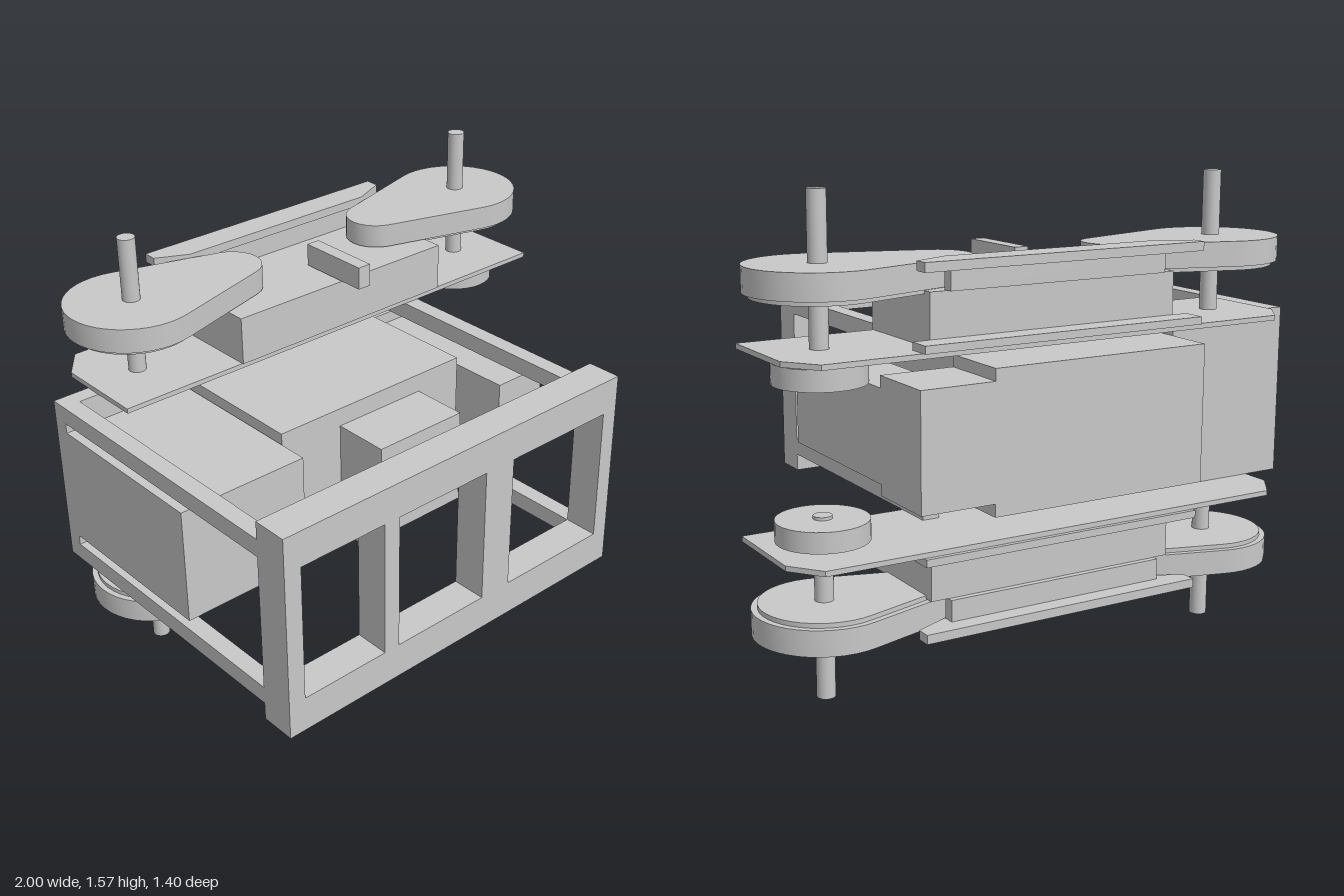
import * as THREE from 'three';
import { toCreasedNormals } from 'three/addons/utils/BufferGeometryUtils.js';

const H = 1.57; // total height; the two wheel decks mirror about H / 2

export function createModel() {
  const group = new THREE.Group();
  const grey = new THREE.MeshStandardMaterial({ color: 0xc8c8c8 });
  grey.name = 'machineGrey';

  const add = (name, geo) => {
    const m = new THREE.Mesh(geo, grey);
    m.name = name;
    group.add(m);
    return m;
  };
  const box = (name, x0, x1, y0, y1, z0, z1) =>
    add(name, new THREE.BoxGeometry(x1 - x0, y1 - y0, z1 - z0))
      .position.set((x0 + x1) / 2, (y0 + y1) / 2, (z0 + z1) / 2);
  const disc = (name, x, z, r, y0, y1) =>
    add(name, new THREE.CylinderGeometry(r, r, y1 - y0, 32)).position.set(x, (y0 + y1) / 2, z);
  // Flat plate: outline in (x, -z), extruded upwards from y0 to y1
  const plate = (name, shape, y0, y1) => {
    const geo = new THREE.ExtrudeGeometry(shape, { depth: y1 - y0, bevelEnabled: false });
    geo.rotateX(-Math.PI / 2);
    add(name, toCreasedNormals(geo, 0.5)).position.y = y0;
  };
  const polygon = pts => new THREE.Shape(pts.map(([x, z]) => new THREE.Vector2(x, -z)));
  // Teardrop outline: big circle at x, small circle at x + dx
  const teardrop = (x, z, dx, R, r) => {
    const a = Math.acos((R - r) / Math.abs(dx)), pts = [];
    const turn = dx > 0 ? 0 : Math.PI;
    const arc = (cx, rad, from, to, k) => {
      for (let i = 0; i <= k; i++) {
        const t = from + (to - from) * i / k + turn;
        pts.push([cx + rad * Math.cos(t), z - rad * Math.sin(t)]);
      }
    };
    arc(x, R, a, 2 * Math.PI - a, 24);
    arc(x + dx, r, -a, a, 10);
    return polygon(pts);
  };

  // Front frame with three windows
  const rect = (S, x0, x1, y0, y1) => {
    const s = new S();
    s.moveTo(x0, y0); s.lineTo(x1, y0); s.lineTo(x1, y1); s.lineTo(x0, y1); s.closePath();
    return s;
  };
  const frame = rect(THREE.Shape, -1, 0.392, 0.43, 1.14);
  for (const [x0, x1] of [[-0.94, -0.625], [-0.567, -0.207], [-0.087, 0.333]])
    frame.holes.push(rect(THREE.Path, x0, x1, 0.55, 1.02));
  add('frontFrame', new THREE.ExtrudeGeometry(frame, { depth: 0.12, bevelEnabled: false }))
    .position.z = 0.58;

  // Central machine blocks
  box('mainBody', -0.525, 0.257, 0.55, 1.02, -0.39, 0.097);
  box('rearBody', -0.525, 0.28, 0.55, 1.02, -0.65, -0.39);
  box('frontKnob', -0.28, 0.075, 0.615, 0.955, 0.097, 0.30);
  box('rightBlock', -1, -0.53, 0.585, 0.985, -0.42, 0.21);
  box('rightBackPlate', -1, -0.525, 0.49, 1.08, -0.48, -0.42);
  box('leftBlock', 0.33, 0.54, 0.63, 0.94, -0.39, 0.237);
  box('leftBlockBase', 0.28, 0.54, 0.593, 0.98, -0.65, -0.39);

  // Everything below exists on the upper and the lower deck
  const wz = -0.457, wheels = [[-0.69, 0.4], [0.775, -0.4]];
  for (const upper of [true, false]) {
    const side = upper ? 'upper' : 'lower';
    const span = (y0, y1) => (upper ? [y0, y1] : [H - y1, H - y0]);

    // Frame rods
    box(side + 'RightRod', -1, -0.94, ...span(1.02, 1.08), -0.42, 0.58);
    box(side + 'LeftRod', 0.332, 0.392, ...span(1.02, 1.08), -0.39, 0.58);

    // Mounting plate, spacer box and rear rails
    plate(side + 'MountingPlate', polygon([
      [-0.87, -0.25], [0.955, -0.25], [0.955, -0.58], [0.875, -0.685], [-0.79, -0.685], [-0.87, -0.58],
    ]), ...span(1.08, 1.097));
    box(side + 'Spacer', -0.41, 0.49, ...span(1.097, 1.265), -0.62, -0.245);
    box(side + 'RailSupport', -0.36, 0.43, ...span(1.265, 1.335), -0.64, -0.6);
    plate(side + 'OuterRail', polygon([
      [-0.355, -0.595], [0.425, -0.595], [0.55, -0.65], [0.55, -0.7], [-0.467, -0.7], [-0.467, -0.65],
    ]), ...span(1.335, 1.365));
    box(side + 'InnerRail', -0.467, 0.55, ...span(1.097, 1.122), -0.7, -0.62);
    box(side + 'GuideBar', 0.02, 0.07, ...span(1.27, 1.35), -0.42, -0.147);

    // Teardrop covers with a thin inner lip, on shafts
    for (const [x, dx] of wheels) {
      plate(side + 'Cover', teardrop(x, wz, dx, 0.225, 0.11), ...span(1.27, 1.353));
      plate(side + 'CoverLip', teardrop(x, wz, dx, 0.205, 0.09), ...span(1.255, 1.27));
      disc(side + 'Shaft', x, wz, 0.03, ...span(x > 0 ? 0.985 : 1.08, H));
    }
    disc(side + 'Pulley', 0.775, wz, 0.147, ...span(0.995, 1.062));
  }
  return group;
}
